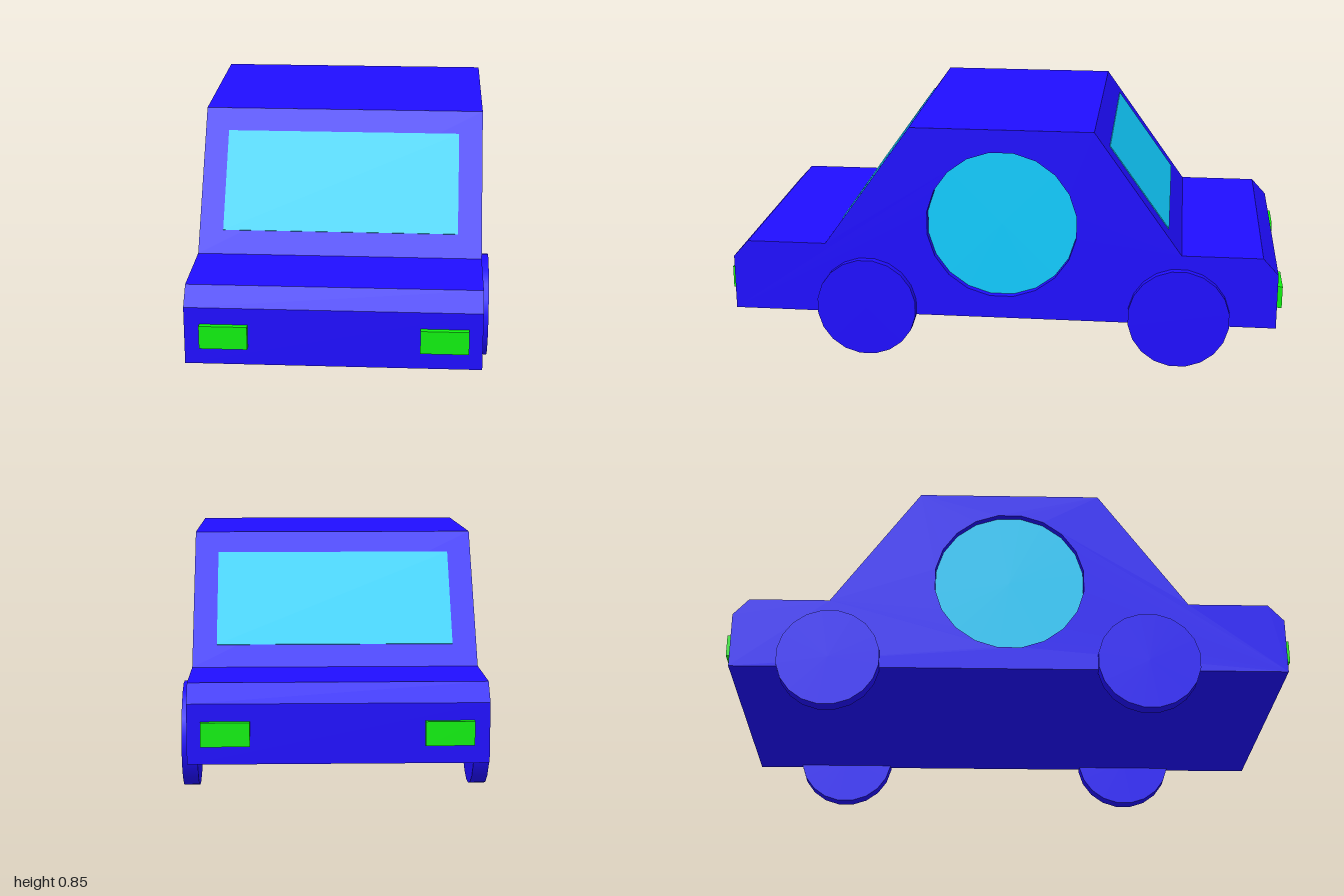
import * as THREE from 'three';

const SIDES = 20;
const paint = new THREE.MeshStandardMaterial({ color: 0x1f0dff });
const glass = new THREE.MeshStandardMaterial({ color: 0x10ccff });
const lamp = new THREE.MeshStandardMaterial({ color: 0x10f010 });

export function createModel() {
  const car = new THREE.Group();
  car.name = 'car';

  const add = (name, geometry, material, x = 0, y = 0, z = 0) => {
    const mesh = new THREE.Mesh(geometry, material);
    mesh.name = name;
    mesh.position.set(x, y, z);
    car.add(mesh);
    return mesh;
  };

  // Disc lying across the car, with a flat facet at the bottom
  const disc = (radius, width) =>
    new THREE.CylinderGeometry(radius, radius, width, SIDES, 1, false, Math.PI / SIDES)
      .rotateZ(Math.PI / 2);

  // Body: side profile (z, y) extruded across the width, with round side openings
  const half = [[0.98, 0.15], [0.98, 0.35], [0.925, 0.41], [0.64, 0.41], [0.325, 0.85]];
  const profile = [...half, ...half.map(([z, y]) => [-z, y]).reverse()];
  const shape = new THREE.Shape(profile.map(([z, y]) => new THREE.Vector2(z, y)));
  const opening = [];
  for (let i = 0; i < SIDES; i++) {
    const a = ((i + 0.5) / SIDES) * Math.PI * 2;
    opening.push(new THREE.Vector2(0.27 * Math.cos(a), 0.5 + 0.27 * Math.sin(a)));
  }
  shape.holes.push(new THREE.Path(opening));
  const body = new THREE.ExtrudeGeometry(shape, { depth: 0.986, bevelEnabled: false });
  body.rotateY(-Math.PI / 2);
  add('body', body, paint, 0.49);

  // Round side windows, set back inside the openings
  for (const side of [-1, 1]) {
    add(side > 0 ? 'leftWindow' : 'rightWindow', disc(0.269, 0.02), glass, side * 0.458 - 0.003, 0.5, 0);
  }

  for (const end of [1, -1]) {
    const place = end > 0 ? 'front' : 'rear';

    // Sloping windscreen, nearly flush with the cabin
    const screen = add(place + 'Windscreen', new THREE.BoxGeometry(0.82, 0.369, 0.006), glass,
      -0.003, 0.63, end * 0.4825);
    screen.rotation.x = -end * Math.atan2(0.315, 0.44);

    for (const side of [-1, 1]) {
      const hand = side > 0 ? 'Left' : 'Right';
      add(place + hand + 'Light', new THREE.BoxGeometry(0.16, 0.08, 0.04), lamp,
        side * 0.365, 0.252, end * 0.98);
      add(place + hand + 'Wheel', disc(0.181, 0.053), paint,
        side * 0.492, 0.18, end > 0 ? 0.49 : -0.635);
    }
  }
  return car;
}
